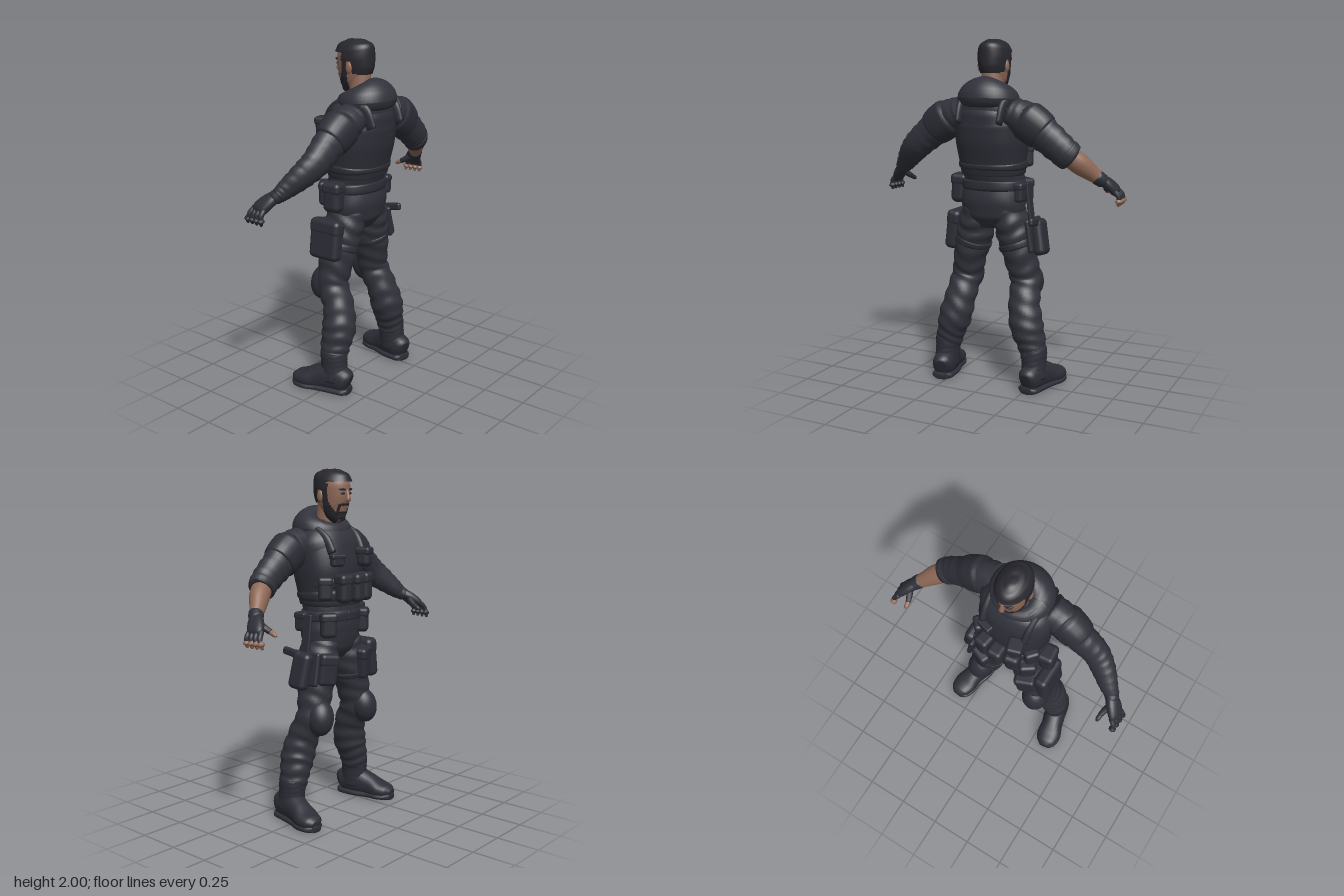
import * as THREE from 'three';
import { RoundedBoxGeometry } from 'three/addons/geometries/RoundedBoxGeometry.js';

const mat = (name, color) => new THREE.MeshStandardMaterial({ name, color, side: THREE.DoubleSide });

export function createModel() {
  const cloth = mat('charcoal cloth', 0x31323b), gear = mat('dark gear', 0x2d2e37);
  const hairMat = mat('dark hair', 0x27272e), skin = mat('skin', 0x8e6856);
  const model = new THREE.Group();
  model.name = 'fieldOperative';
  // Parts are laid out facing +z, then the whole body is turned to face -x
  const body = new THREE.Group();
  body.name = 'body';
  body.rotation.y = -Math.PI / 2;
  model.add(body);

  const add = (name, geo, m, pos = [0, 0, 0], rot = [0, 0, 0], scale = [1, 1, 1]) => {
    const mesh = new THREE.Mesh(geo, m);
    mesh.name = name;
    mesh.position.set(...pos);
    mesh.rotation.set(...rot);
    mesh.scale.set(...scale);
    body.add(mesh);
    return mesh;
  };

  // Smooth loft through sections [x, y, z, radiusA, radiusB]; options: folds, squareness, kept faces
  const loft = (name, pts, m, o = {}) => {
    const { n = 24, steps = 6, fold = 0, freq = 9, pow = 1, ref = [0, 0, 1], keep, floor = -1 } = o;
    const path = new THREE.CatmullRomCurve3(pts.map(p => new THREE.Vector3(p[0], p[1], p[2])));
    const radii = new THREE.CatmullRomCurve3(pts.map(p => new THREE.Vector3(p[3], p[4], 0)));
    const rows = (pts.length - 1) * steps, pos = [], idx = [], R = new THREE.Vector3(...ref);
    const round = v => Math.sign(v) * Math.abs(v) ** pow;
    for (let i = 0; i <= rows; i++) {
      const t = i / rows, c = path.getPoint(t), T = path.getTangent(t), r = radii.getPoint(t);
      const U = T.clone().cross(R).normalize(), V = T.clone().cross(U);
      for (let j = 0; j < n; j++) {
        const a = j / n * Math.PI * 2;
        const k = 1 + fold * Math.sin(t * freq * 6.28 + 1.6 * Math.sin(a * 2 + t * 5) + a);
        const p = c.clone().addScaledVector(U, round(Math.cos(a)) * r.x * k)
          .addScaledVector(V, round(Math.sin(a)) * r.y * k);
        pos.push(p.x, Math.max(p.y, floor), p.z);
      }
    }
    const first = path.getPoint(0), last = path.getPoint(1), base = (rows + 1) * n;
    pos.push(first.x, first.y, first.z, last.x, last.y, last.z);
    const face = (...f) => {
      const mid = [0, 1, 2].map(k => f.reduce((s, v) => s + pos[v * 3 + k], 0) / f.length);
      if (keep && !keep(...mid)) return;
      idx.push(f[0], f[1], f[2]);
      if (f.length > 3) idx.push(f[0], f[2], f[3]);
    };
    for (let j = 0; j < n; j++) {
      const q = (j + 1) % n;
      for (let i = 0; i < rows; i++) face(i * n + j, i * n + q, (i + 1) * n + q, (i + 1) * n + j);
      face(base, q, j);
      face(base + 1, rows * n + j, rows * n + q);
    }
    const g = new THREE.BufferGeometry();
    g.setAttribute('position', new THREE.Float32BufferAttribute(pos, 3));
    g.setIndex(idx);
    g.computeVertexNormals();
    return add(name, g, m);
  };

  // Rounded pouch with a closing flap
  const pouch = (name, pos, [w, h, d], rot = [0, 0, 0]) => {
    const p = add(name, new RoundedBoxGeometry(w, h, d, 4, Math.min(w, h, d) * 0.38), gear, pos, rot);
    const flap = new THREE.Mesh(new RoundedBoxGeometry(w + 0.006, h * 0.4, d + 0.006, 3, Math.min(w, h * 0.4, d) * 0.36), gear);
    flap.name = name + 'Flap';
    flap.position.y = h * 0.31;
    p.add(flap);
  };
  const ball = (name, pos, scale, m, rot) => add(name, new THREE.SphereGeometry(1, 28, 20), m, pos, rot, scale);

  // Torso, vest and belt
  loft('torso', [[0, 0.935, 0, 0.09, 0.08], [0, 1.0, 0, 0.178, 0.125], [0, 1.1, 0, 0.192, 0.142], [0, 1.2, 0.01, 0.177, 0.138],
    [0, 1.3, -0.01, 0.18, 0.145], [0, 1.45, -0.02, 0.2, 0.165], [0, 1.57, -0.035, 0.215, 0.16],
    [0, 1.66, -0.06, 0.17, 0.125], [0, 1.72, -0.06, 0.09, 0.08]], cloth, { n: 40, pow: 0.9, fold: 0.008 });
  loft('vest', [[0, 1.235, 0, 0.17, 0.135], [0, 1.25, 0, 0.186, 0.15], [0, 1.33, -0.01, 0.196, 0.158], [0, 1.45, -0.02, 0.21, 0.175],
    [0, 1.55, -0.036, 0.208, 0.168], [0, 1.61, -0.05, 0.18, 0.15], [0, 1.645, -0.055, 0.14, 0.12]],
    gear, { n: 40, pow: 0.87 });
  for (const y of [1.27, 1.34]) {
    loft('vestBand', [[0, y, -0.005, 0.188, 0.15], [0, y + 0.015, -0.005, 0.198, 0.161], [0, y + 0.04, -0.006, 0.2, 0.164],
      [0, y + 0.055, -0.007, 0.192, 0.152]], gear, { n: 40, pow: 0.87, steps: 3 });
  }
  loft('belt', [[0, 1.15, 0.005, 0.175, 0.13], [0, 1.165, 0.005, 0.19, 0.15], [0, 1.205, 0.008, 0.187, 0.15], [0, 1.22, 0.008, 0.165, 0.13]],
    gear, { n: 40, pow: 0.9, steps: 3 });
  add('beltBuckle', new RoundedBoxGeometry(0.07, 0.05, 0.02, 2, 0.008), gear, [0, 1.185, 0.155]);

  // Chest and waist pouches
  for (const x of [-0.09, 0, 0.09]) {
    pouch('magazinePouch', [x, 1.345, 0.192 - Math.abs(x) * 0.2], [0.082, 0.16, 0.085], [0, x * 2, 0]);
  }
  pouch('radioPouch', [0.1, 1.51, 0.165], [0.08, 0.11, 0.085], [0, 0.3, 0]);
  pouch('chestPouch', [-0.1, 1.5, 0.135], [0.085, 0.07, 0.05], [0, -0.3, 0]);
  for (const s of [-1, 1]) {
    pouch('sideVestPouch', [s * 0.165, 1.345, 0.105], [0.08, 0.13, 0.06], [0, s * 0.85, 0]);
    pouch('frontHipPouch', [s * 0.15, 1.14, 0.115], [0.095, 0.14, 0.07], [0, s * 0.6, 0]);
    loft('vestStrap', [[s * 0.125, 1.54, 0.12, 0.03, 0.02], [s * 0.13, 1.62, 0.07, 0.032, 0.02], [s * 0.135, 1.672, -0.04, 0.034, 0.02],
      [s * 0.13, 1.64, -0.15, 0.034, 0.02], [s * 0.125, 1.54, -0.195, 0.032, 0.015]], gear, { ref: [1, 0, 0].map(() => 0).map((v, k) => (k ? v : 1)), n: 14 })
      .name = s > 0 ? 'leftVestStrap' : 'rightVestStrap';
  }
  pouch('hipPouch', [0.215, 1.145, 0.0], [0.095, 0.17, 0.11], [0, 0.1, 0.05]);
  pouch('rearHipPouch', [-0.19, 1.15, -0.05], [0.05, 0.11, 0.08]);

  // Hood lying around the neck: high and full behind, thin in front
  const hood = new THREE.TorusGeometry(1, 0.4, 20, 48), hp = hood.attributes.position;
  for (let i = 0; i < hp.count; i++) {
    const x = hp.getX(i), y = hp.getY(i), h = hp.getZ(i) / 0.4;
    const a = Math.atan2(y, x), r = (Math.hypot(x, y) - 1) / 0.4;
    const b = (1 - Math.sin(a)) / 2;
    const R = 0.1 + r * (0.038 + 0.045 * b);
    hp.setXYZ(i, Math.cos(a) * R * 1.1, 1.66 + 0.052 * b + h * (0.04 + 0.04 * b) - r * 0.03 * b,
      -0.045 + Math.sin(a) * R);
  }
  hood.index.array.reverse();
  hood.computeVertexNormals();
  add('hood', hood, cloth);
  for (const s of [-1, 1]) {
    loft('hoodFold', [[0, 1.755, -0.16, 0.025, 0.022], [s * 0.07, 1.748, -0.135, 0.03, 0.025], [s * 0.115, 1.72, -0.06, 0.032, 0.025],
      [s * 0.095, 1.685, 0.03, 0.025, 0.022], [s * 0.02, 1.64, 0.085, 0.015, 0.012]], cloth, { ref: [0, 1, 0], n: 14 });
  }

  // Head: skin, then hair and beard as shells over the same shape
  const skull = [[1.715, 0.07, 0.028, 0.025], [1.74, 0.052, 0.052, 0.052], [1.79, 0.03, 0.072, 0.088], [1.85, 0.02, 0.08, 0.105],
    [1.9, 0.017, 0.082, 0.108], [1.94, 0.013, 0.075, 0.098], [1.97, 0.01, 0.045, 0.06]];
  const shell = e => skull.map(([y, z, a, b]) => [0, y, z, a + e, b + e]);
  loft('neck', [[0, 1.64, -0.04, 0.075, 0.075], [0, 1.74, -0.02, 0.063, 0.065], [0, 1.84, -0.01, 0.06, 0.065]], skin);
  loft('head', shell(0), skin, { n: 40 });
  loft('beard', shell(0.006), hairMat, { n: 96, steps: 16, keep: (x, y, z) =>
    (z > 0.012 && y < 1.765 + (z < 0.08 ? (0.08 - z) * 2 : 0)) || (z > 0.015 && z < 0.05 && y < 1.92)
    || (z > 0.09 && y > 1.797 && y < 1.81 && Math.abs(x) < 0.04) || (Math.abs(Math.abs(x) - 0.04) < 0.008 && z > 0.05 && y < 1.805) });
  loft('hair', [[0, 1.79, 0.01, 0.07, 0.09], [0, 1.85, 0.012, 0.087, 0.115], [0, 1.9, 0.016, 0.094, 0.12], [0, 1.94, 0.02, 0.09, 0.122],
    [0, 1.97, 0.025, 0.074, 0.104], [0, 1.988, 0.027, 0.052, 0.076], [0, 1.997, 0.028, 0.027, 0.04], [0, 2.0, 0.028, 0.005, 0.008]],
    hairMat, { n: 64, steps: 9, keep: (x, y, z) =>
      y > 1.93 || (z < 0.045 && y > 1.885) || (z < -0.02 && y > 1.815) });
  loft('nose', [[0, 1.885, 0.116, 0.009, 0.01], [0, 1.855, 0.126, 0.011, 0.013], [0, 1.832, 0.13, 0.016, 0.014], [0, 1.822, 0.122, 0.01, 0.008]], skin, { n: 14 });
  for (const s of [-1, 1]) {
    ball('ear', [s * 0.085, 1.85, -0.005], [0.011, 0.032, 0.02], skin);
    ball('eye', [s * 0.033, 1.866, 0.117], [0.015, 0.007, 0.004], hairMat, [0, s * 0.35, 0]);
    ball('eyebrow', [s * 0.035, 1.888, 0.117], [0.024, 0.007, 0.006], hairMat, [0, s * 0.35, s * 0.08]);
  }

  for (const s of [-1, 1]) {
    const M = pts => pts.map(([x, ...r]) => [s * x, ...r]);
    const bare = s < 0; // right forearm has a rolled sleeve

    // Arm and sleeve
    const arm = [[0.15, 1.6, -0.09, 0.085, 0.09], [0.25, 1.555, -0.085, 0.103, 0.09], [0.36, 1.475, -0.08, 0.095, 0.08],
      [0.46, 1.395, -0.075, 0.085, 0.07]];
    const fore = [[0.53, 1.335, -0.04, 0.074, 0.062], [0.6, 1.27, 0.01, 0.055, 0.048], [0.635, 1.24, 0.03, 0.042, 0.038]];
    if (bare) {
      loft('sleeve', M([...arm, [0.5, 1.36, -0.06, 0.076, 0.066]]), cloth, { fold: 0.035 });
      loft('rolledCuff', M([[0.462, 1.395, -0.076, 0.07, 0.06], [0.47, 1.387, -0.073, 0.086, 0.072], [0.495, 1.364, -0.062, 0.082, 0.07], [0.503, 1.357, -0.057, 0.06, 0.052]]), cloth, { steps: 4 });
      loft('forearm', M([[0.46, 1.395, -0.075, 0.055, 0.055], [0.53, 1.335, -0.04, 0.06, 0.054], [0.6, 1.27, 0.01, 0.045, 0.04], [0.64, 1.235, 0.035, 0.034, 0.032]]), skin);
    } else loft('sleeve', M([...arm, ...fore]), cloth, { fold: 0.035, freq: 13 });
    loft('shoulderPad', M([[0.22, 1.578, -0.087, 0.095, 0.083], [0.25, 1.557, -0.086, 0.113, 0.097], [0.3, 1.522, -0.083, 0.112, 0.094],
      [0.335, 1.495, -0.081, 0.105, 0.088], [0.345, 1.487, -0.08, 0.09, 0.075]]), gear, { pow: 0.92 });

    // Gloved hand with fingers
    loft('gloveCuff', M([[0.612, 1.26, 0.017, 0.034, 0.034], [0.622, 1.251, 0.024, 0.042, 0.04], [0.645, 1.23, 0.046, 0.038, 0.04], [0.655, 1.22, 0.055, 0.025, 0.025]]), gear, { steps: 4 });
    loft('palm', M([[0.635, 1.24, 0.04, 0.03, 0.034], [0.67, 1.212, 0.07, 0.03, 0.046], [0.7, 1.177, 0.097, 0.027, 0.049], [0.712, 1.155, 0.105, 0.015, 0.038]]), gear, { pow: 0.85 });
    const tip = bare ? skin : gear;
    for (let i = 0; i < 4; i++) {
      const z = 0.138 - i * 0.025, f = 0.02 - i * 0.006, x = 0.002 * i;
      loft('finger', M([[0.698 + x, 1.178, z, 0.015, 0.015], [0.722 + x, 1.15, z + f * 0.7, 0.014, 0.014], [0.727 + x, 1.128, z + f, 0.013, 0.013]]), gear, { n: 10 });
      loft('fingertip', M([[0.726 + x, 1.135, z + f, 0.012, 0.012], [0.725 + x, 1.108, z + f * 1.4, 0.012, 0.012], [0.721 + x, 1.092, z + f * 1.6, 0.006, 0.006]]), tip, { n: 10 });
    }
    loft('thumb', M([[0.66, 1.215, 0.075, 0.021, 0.021], [0.642, 1.185, 0.115, 0.018, 0.018], [0.634, 1.17, 0.142, 0.015, 0.015]]), gear, { n: 12, ref: [0, 1, 0] });
    loft('thumbTip', M([[0.635, 1.172, 0.138, 0.014, 0.014], [0.632, 1.158, 0.166, 0.013, 0.013], [0.632, 1.15, 0.18, 0.006, 0.006]]), tip, { n: 12, ref: [0, 1, 0] });

    // Trouser leg with gathered cloth and knee pad
    loft('trouserLeg', M([[0.085, 1.12, 0, 0.06, 0.09], [0.1, 1.02, 0.003, 0.09, 0.118], [0.13, 0.9, 0.02, 0.108, 0.12], [0.165, 0.75, 0.025, 0.096, 0.105],
      [0.192, 0.62, 0.03, 0.09, 0.09], [0.207, 0.5, -0.022, 0.092, 0.088], [0.232, 0.38, -0.047, 0.098, 0.097], [0.262, 0.28, -0.045, 0.084, 0.087],
      [0.28, 0.2, -0.045, 0.074, 0.078]]), cloth, { fold: 0.038, freq: 12, n: 32, steps: 10 });
    ball('kneePad', [s * 0.195, 0.615, 0.092], [0.078, 0.105, 0.078], gear, [-0.15, s * 0.1, s * 0.15]);
    loft('thighStrap', M([[0.136, 0.855, 0.022, 0.095, 0.105], [0.14, 0.845, 0.022, 0.111, 0.12], [0.147, 0.82, 0.022, 0.109, 0.118], [0.15, 0.81, 0.022, 0.093, 0.103]]), gear, { steps: 4 });

    // Boot with shaft, foot and sole
    loft('bootShaft', M([[0.276, 0.255, -0.045, 0.066, 0.07], [0.28, 0.235, -0.046, 0.076, 0.08], [0.284, 0.16, -0.05, 0.071, 0.08], [0.29, 0.07, -0.055, 0.07, 0.09]]), gear, { fold: 0.025 });
    const foot = [[0.275, 0.07, -0.155, 0.035, 0.05], [0.28, 0.08, -0.13, 0.06, 0.07], [0.293, 0.09, -0.04, 0.068, 0.085], [0.315, 0.074, 0.04, 0.066, 0.07],
      [0.333, 0.056, 0.11, 0.075, 0.05], [0.343, 0.048, 0.165, 0.062, 0.04], [0.347, 0.042, 0.196, 0.03, 0.022]];
    loft('boot', M(foot), gear, { ref: [0, 1, 0], floor: 0.012, pow: 0.88 });
    loft('bootSole', M(foot.map(([x, , z, a]) => [x, 0.02, z, a + 0.004, 0.02])), gear, { ref: [0, 1, 0], floor: 0, pow: 0.7 });
  }

  // Thigh pouches, right holster with grip
  pouch('thighPouch', [0.247, 0.9, 0.03], [0.08, 0.23, 0.2], [0, 0, 0.12]);
  pouch('frontThighPouch', [0.15, 0.89, 0.128], [0.12, 0.18, 0.06], [0.05, 0.35, 0.1]);
  pouch('frontThighPouch', [-0.165, 0.89, 0.122], [0.11, 0.18, 0.06], [0.05, -0.4, -0.1]);
  add('holster', new RoundedBoxGeometry(0.07, 0.21, 0.12, 4, 0.03), gear, [-0.283, 0.89, 0.025], [0.1, 0, -0.18]);
  add('holsterPanel', new RoundedBoxGeometry(0.03, 0.19, 0.19, 3, 0.014), gear, [-0.245, 0.9, 0.03], [0, 0, -0.15]);
  add('holsterHanger', new RoundedBoxGeometry(0.02, 0.24, 0.06, 2, 0.008), gear, [-0.222, 1.08, 0.015], [0, 0, -0.12]);
  add('pistolGrip', new RoundedBoxGeometry(0.03, 0.045, 0.13, 3, 0.014), gear, [-0.277, 0.985, -0.045], [0.15, 0, 0]);

  return model;
}
